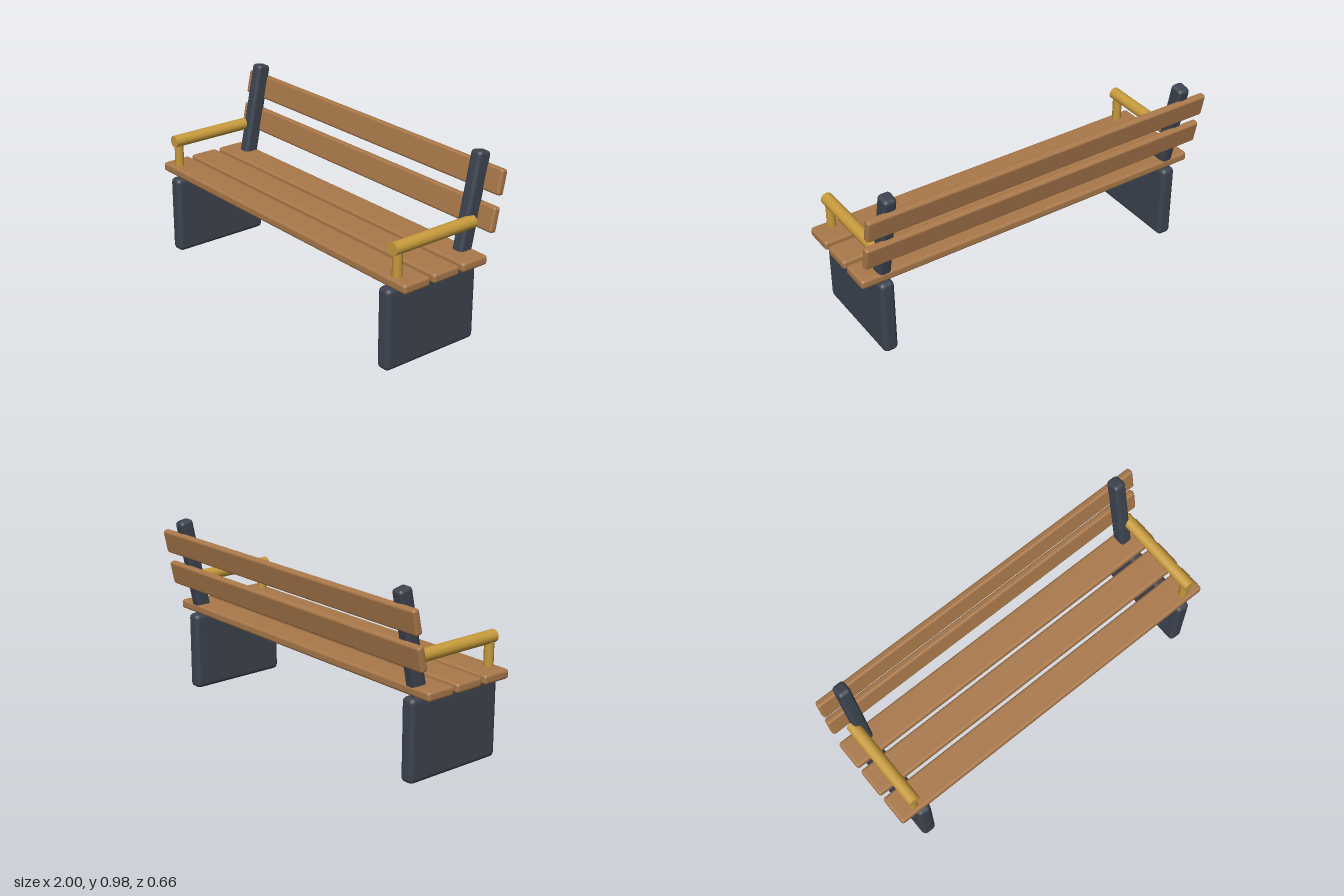
import * as THREE from 'three';
import { RoundedBoxGeometry } from 'three/addons/geometries/RoundedBoxGeometry.js';

export function createModel() {
  const bench = new THREE.Group();
  bench.name = 'bench';

  const material = (name, color) => {
    const m = new THREE.MeshStandardMaterial({ color });
    m.name = name;
    return m;
  };
  const wood = material('wood', 0xa9784a);
  const iron = material('dark iron', 0x3c434f);
  const brass = material('brass', 0xc89b3c);

  const add = (name, geometry, mat, x, y, z, tilt = 0) => {
    const mesh = new THREE.Mesh(geometry, mat);
    mesh.name = name;
    mesh.position.set(x, y, z);
    mesh.rotation.x = tilt;
    bench.add(mesh);
  };
  const lean = -0.205;

  // Seat slats, front to back
  const seatSlat = new RoundedBoxGeometry(2, 0.05, 0.163, 2, 0.015);
  [0.23, 0.045, -0.14].forEach((z, i) => add(`seatSlat${i + 1}`, seatSlat, wood, 0, 0.462, z));

  // Leaning back slats
  const backSlat = new RoundedBoxGeometry(2, 0.13, 0.04, 2, 0.013);
  add('lowerBackSlat', backSlat, wood, 0, 0.655, -0.262, lean);
  add('upperBackSlat', backSlat, wood, 0, 0.838, -0.299, lean);

  // Legs, back posts and armrests, mirrored
  const leg = new RoundedBoxGeometry(0.08, 0.43, 0.57, 2, 0.025);
  const post = new RoundedBoxGeometry(0.07, 0.55, 0.08, 2, 0.02);
  const arm = new THREE.CylinderGeometry(0.033, 0.033, 0.51, 12);
  const support = new THREE.CylinderGeometry(0.025, 0.025, 0.15, 8);
  for (const [side, s] of [['left', 1], ['right', -1]]) {
    add(`${side}Leg`, leg, iron, s * 0.87, 0.215, 0.045);
    add(`${side}BackPost`, post, iron, s * 0.867, 0.702, -0.224, lean);
    add(`${side}Armrest`, arm, brass, s * 0.9, 0.633, 0.045, Math.PI / 2);
    add(`${side}ArmSupport`, support, brass, s * 0.9, 0.545, 0.27);
  }
  return bench;
}
